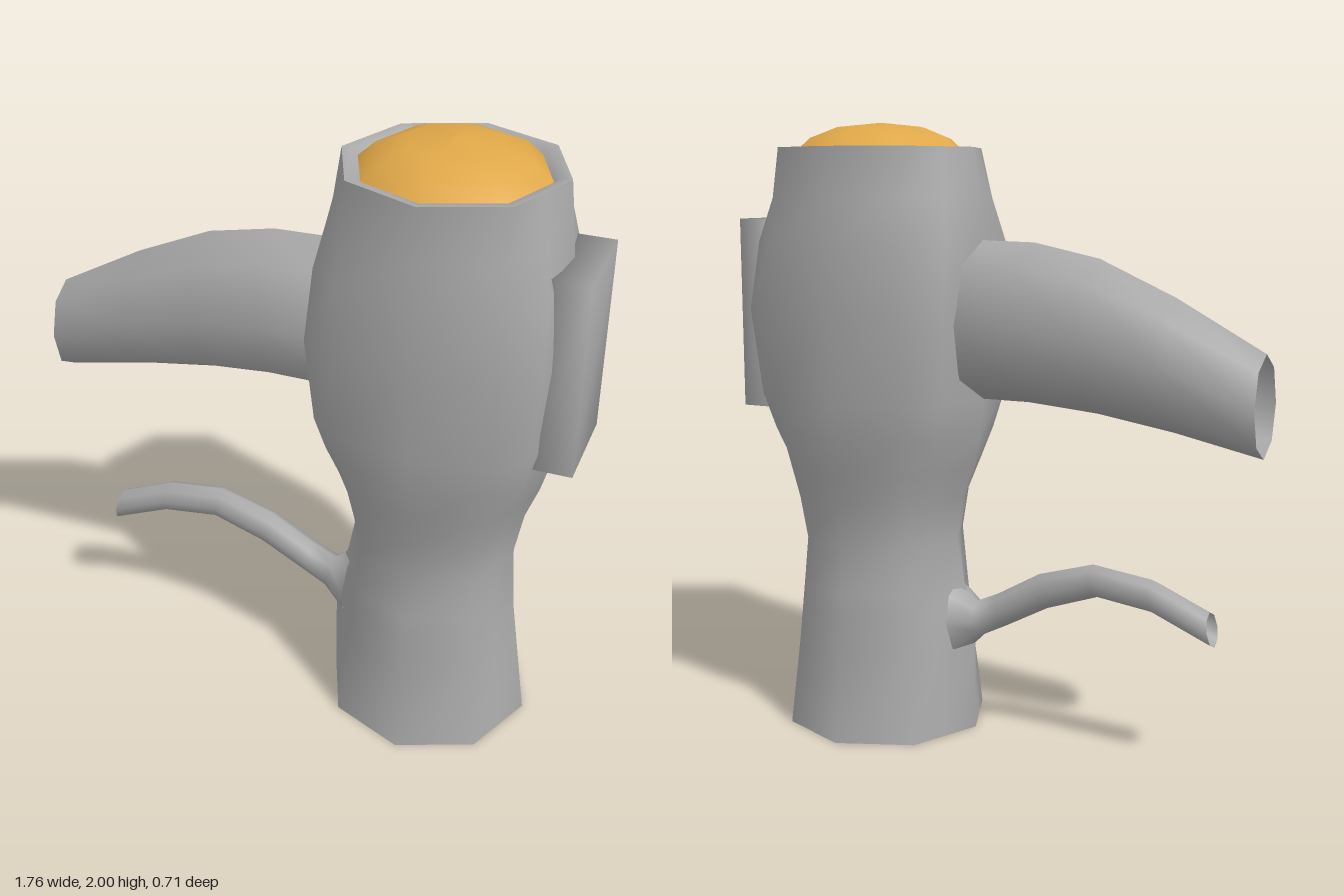
import * as THREE from 'three';
import { mergeVertices } from 'three/addons/utils/BufferGeometryUtils.js';

const CX = 0.425; // axis of the body

// Smooth open skin through a list of equally sized closed rings
function loft(rings) {
  const n = rings[0].length;
  const index = [];
  for (let i = 0; i < rings.length - 1; i++) {
    for (let j = 0; j < n; j++) {
      const k = (j + 1) % n;
      const a = i * n + j, b = i * n + k, c = a + n, d = b + n;
      index.push(a, c, b, b, c, d);
    }
  }
  const geo = new THREE.BufferGeometry();
  geo.setAttribute('position', new THREE.Float32BufferAttribute(rings.flat(2), 3));
  geo.setIndex(index);
  geo.computeVertexNormals();
  return geo;
}

// Body ring: left, right and front reach, octagon corner (dx, dz), side corner (ex, ez)
function bodyRing([y, left, right, front, dx, dz, ex, ez]) {
  return [
    [right, 0], [ex, ez], [dx, dz], [0, front], [-dx, dz], [-ex, ez],
    [-left, 0], [-ex, -ez], [-dx, -dz], [0, -front], [dx, -dz], [ex, -ez],
  ].map(([x, z]) => [CX + x, y, z]);
}

// Eight-sided ring between a top and a bottom point, with half width w in z
function tubeRing([xt, yt, xb, yb, w]) {
  const ring = [];
  for (let i = 0; i < 8; i++) {
    const a = (i / 8) * Math.PI * 2;
    const t = (1 - Math.cos(a)) / 2;
    ring.push([xt + (xb - xt) * t, yt + (yb - yt) * t, w * Math.sin(a)]);
  }
  return ring;
}

export function createModel() {
  const group = new THREE.Group();
  const grey = new THREE.MeshStandardMaterial({ color: 0xa9a9a9, side: THREE.DoubleSide });
  grey.name = 'grey shell';
  const amber = new THREE.MeshStandardMaterial({ color: 0xdfa748, side: THREE.DoubleSide });
  amber.name = 'amber lid';

  const add = (name, geo, mat) => {
    const mesh = new THREE.Mesh(geo, mat);
    mesh.name = name;
    group.add(mesh);
    return mesh;
  };

  // Waisted body, octagonal at the ends and squarish in the upper half, open below
  add('body', loft([
    [0, 0.34, 0.34, 0.34, 0.24, 0.24, 0.29, 0.12],
    [0.28, 0.34, 0.3, 0.307, 0.215, 0.217, 0.255, 0.11],
    [0.42, 0.335, 0.28, 0.293, 0.205, 0.207, 0.24, 0.105],
    [0.49, 0.3, 0.275, 0.286, 0.2, 0.202, 0.237, 0.1],
    [0.64, 0.272, 0.265, 0.27, 0.19, 0.192, 0.23, 0.095],
    [0.78, 0.29, 0.29, 0.29, 0.205, 0.21, 0.25, 0.11],
    [0.89, 0.335, 0.33, 0.313, 0.22, 0.235, 0.285, 0.14],
    [1.0, 0.36, 0.36, 0.335, 0.235, 0.26, 0.315, 0.18],
    [1.12, 0.373, 0.372, 0.342, 0.242, 0.285, 0.34, 0.215],
    [1.4, 0.375, 0.375, 0.355, 0.247, 0.318, 0.36, 0.245],
    [1.62, 0.373, 0.372, 0.35, 0.246, 0.292, 0.348, 0.205],
    [1.76, 0.365, 0.36, 0.346, 0.243, 0.268, 0.322, 0.16],
    [1.92, 0.34, 0.34, 0.34, 0.24, 0.24, 0.29, 0.12],
  ].map(bodyRing)), grey);

  // Rim sloping in to the lid
  const rim = new THREE.LatheGeometry(
    [[0.285, 1.895], [0.31, 1.918], [0.34, 1.92]].map(([r, y]) => new THREE.Vector2(r, y)).reverse(), 8);
  add('rim', rim, grey).position.x = CX;

  // Low faceted dome
  const dome = new THREE.LatheGeometry(
    [[0.29, 1.9], [0.235, 1.95], [0.145, 1.985], [0, 2]].map(([r, y]) => new THREE.Vector2(r, y)), 8);
  add('lid', dome, amber).position.x = CX;

  // Tapered upper arm with an open end
  add('upperArm', loft([
    [0.1, 1.63, 0.1, 1.12, 0.18],
    [-0.13, 1.625, -0.11, 1.12, 0.177],
    [-0.35, 1.58, -0.35, 1.1, 0.165],
    [-0.6, 1.47, -0.6, 1.06, 0.14],
    [-0.885, 1.315, -0.885, 1.0, 0.108],
  ].map(tubeRing)), grey);

  // Thin curved pipe, flared where it meets the body
  add('lowerPipe', loft([
    [0.15, 0.5, 0.13, 0.25, 0.1],
    [0.08, 0.44, 0.05, 0.33, 0.055],
    [0, 0.475, -0.03, 0.37, 0.05],
    [-0.15, 0.56, -0.18, 0.45, 0.05],
    [-0.34, 0.615, -0.355, 0.51, 0.05],
    [-0.54, 0.59, -0.545, 0.485, 0.05],
    [-0.73, 0.51, -0.748, 0.4, 0.05],
  ].map(tubeRing)), grey);

  // Side plate with softened normals
  let plate = new THREE.BoxGeometry(0.13, 0.625, 0.325);
  plate.deleteAttribute('normal');
  plate.deleteAttribute('uv');
  plate = mergeVertices(plate);
  plate.computeVertexNormals();
  add('sidePlate', plate, grey).position.set(0.815, 1.378, 0);

  return group;
}
